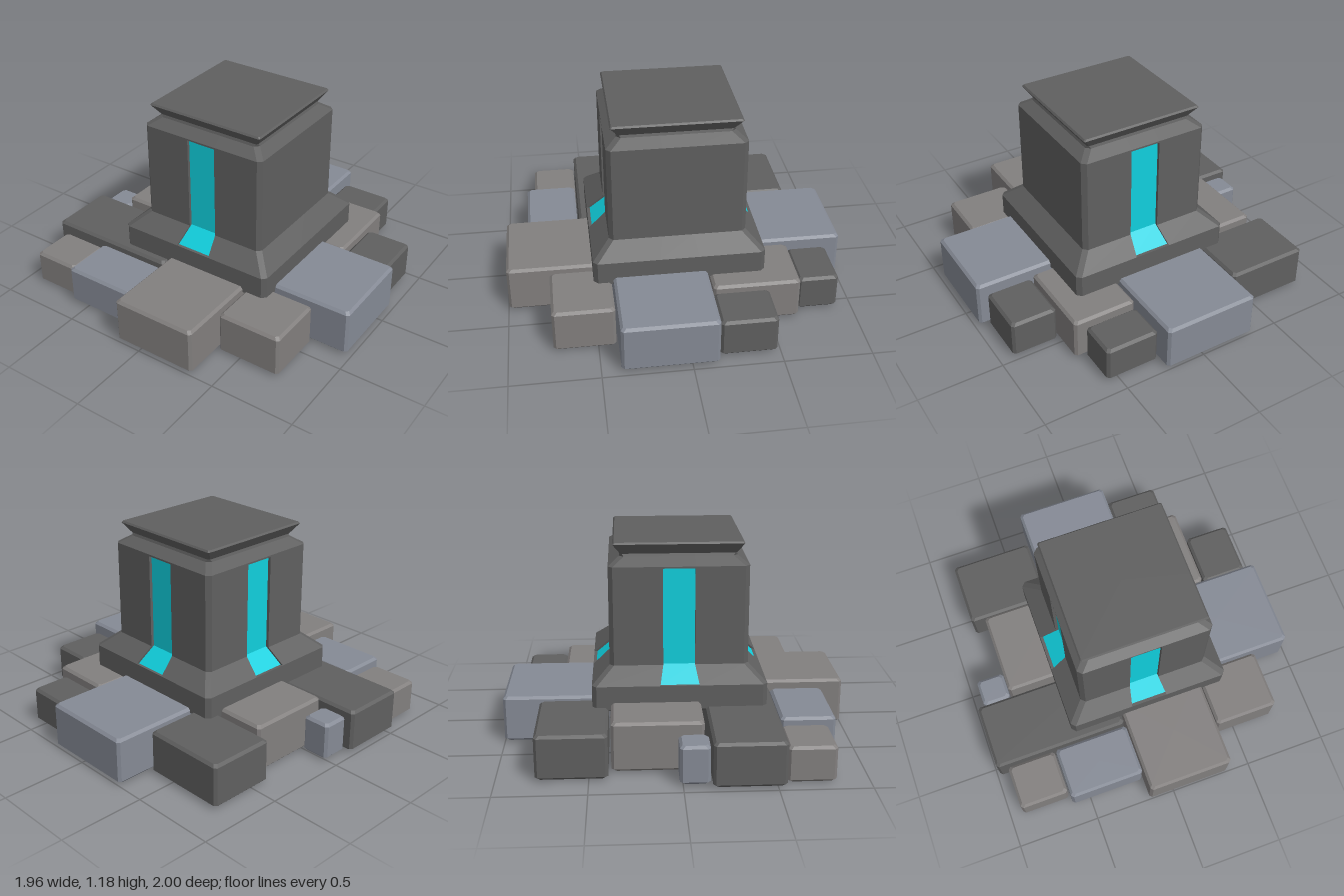
import * as THREE from 'three';

const DARK = 0x5f5f5f, BLUE = 0x858a95, BROWN = 0x827f7e, TEAL = 0x10cfdd;

function facetMesh(name, positions, color) {
  const geometry = new THREE.BufferGeometry();
  geometry.setAttribute('position', new THREE.Float32BufferAttribute(positions, 3));
  geometry.computeVertexNormals();
  const mesh = new THREE.Mesh(geometry, new THREE.MeshStandardMaterial({ color, flatShading: true }));
  mesh.name = name;
  return mesh;
}

// Adds one triangle, leaving out those without area
function addTriangle(out, a, b, c) {
  const area = new THREE.Triangle(a, b, c).getArea();
  if (area > 1e-8) for (const p of [a, b, c]) out.push(p.x, p.y, p.z);
}

// Joins rings of equal point count from bottom to top and closes both ends.
// pick(i, j) may send a wall panel to another list of triangles.
function loft(rings, out, pick = () => out) {
  const n = rings[0].length;
  for (let i = 0; i < rings.length - 1; i++) {
    for (let j = 0; j < n; j++) {
      const k = (j + 1) % n, low = rings[i], high = rings[i + 1], list = pick(i, j);
      addTriangle(list, low[j], low[k], high[k]);
      addTriangle(list, low[j], high[k], high[j]);
    }
  }
  const middle = (ring) => ring.reduce((s, p) => s.add(p), new THREE.Vector3()).divideScalar(n);
  const first = rings[0], last = rings[rings.length - 1];
  const bottom = middle(first), top = middle(last);
  for (let j = 0; j < n; j++) {
    const k = (j + 1) % n;
    addTriangle(out, bottom, first[k], first[j]);
    addTriangle(out, top, last[j], last[k]);
  }
}

// Stone block with all edges chamfered
function stoneBlock(name, color, x0, x1, z0, z1, y0, y1) {
  const c = 0.015;
  const ring = (y, inset) => {
    const l = x0 + inset, r = x1 - inset, b = z0 + inset, f = z1 - inset;
    return [[l + c, f], [r - c, f], [r, f - c], [r, b + c], [r - c, b], [l + c, b], [l, b + c], [l, f - c]]
      .map(([x, z]) => new THREE.Vector3(x, y, z));
  };
  const out = [];
  loft([ring(y0, c), ring(y0 + c, 0), ring(y1 - c, 0), ring(y1, c)], out);
  return facetMesh(name, out, color);
}

// Square ring with cut corners and a groove in every side but the +x one
function towerRing({ y, h, c = 0.025, groove = 0, w = 0.09 }) {
  const points = [];
  for (let side = 0; side < 4; side++) {
    const d = side === 1 ? 0 : groove, e = h - c;
    const cos = Math.round(Math.cos(side * Math.PI / 2)), sin = Math.round(Math.sin(side * Math.PI / 2));
    for (const [u, v] of [[-e, h], [-w, h], [-w, h - d], [w, h - d], [w, h], [e, h]]) {
      points.push(new THREE.Vector3(u * cos + v * sin, y, v * cos - u * sin));
    }
  }
  return points;
}

function tower() {
  const group = new THREE.Group();
  group.name = 'tower';
  const sections = [
    { y: 0.24, h: 0.48, w: 0.11 },
    { y: 0.25, h: 0.493, w: 0.11 },
    { y: 0.39, h: 0.493, w: 0.11 },
    { y: 0.39, h: 0.493, w: 0.11, groove: 0.018 },
    { y: 0.48, h: 0.393, groove: 0.018 },
    { y: 1.04, h: 0.393, groove: 0.018 },
    { y: 1.04, h: 0.393 },
    { y: 1.05, h: 0.393 },
    { y: 1.095, h: 0.33 },
    { y: 1.11, h: 0.325, c: 0.01 },
    { y: 1.17, h: 0.366, c: 0.006 },
    { y: 1.18, h: 0.358, c: 0.006 },
  ];
  const body = [], glow = [];
  // The floors of the grooves become the coloured strips
  loft(sections.map(towerRing), body, (i, j) => {
    const grooved = sections[i].groove && sections[i + 1].groove;
    return grooved && j % 6 === 2 && j !== 8 ? glow : body;
  });
  group.add(facetMesh('towerBody', body, DARK), facetMesh('glowStrips', glow, TEAL));
  group.position.set(0.014, 0, 0.008);
  return group;
}

export function createModel() {
  const model = new THREE.Group();
  model.name = 'pedestal';
  model.add(tower());

  // Ring of paving stones: colour, x range, z range, y range
  const stones = [
    [BLUE, -0.335, 0.24, -1.0, -0.4, 0.01, 0.28],
    [DARK, 0.25, 0.57, -0.91, -0.675, 0.01, 0.22],
    [BROWN, 0.25, 0.633, -0.668, -0.165, 0.01, 0.26],
    [DARK, 0.645, 0.92, -0.48, -0.16, 0.01, 0.235],
    [BLUE, 0.25, 0.975, -0.15, 0.39, 0.01, 0.29],
    [BROWN, 0.37, 0.755, 0.4, 0.75, 0.005, 0.26],
    [BROWN, -0.155, 0.36, 0.4, 0.995, 0.01, 0.285],
    [BLUE, -0.613, -0.16, 0.56, 0.868, 0.01, 0.24],
    [BROWN, -0.918, -0.623, 0.555, 0.82, 0, 0.205],
    [DARK, -0.98, -0.163, 0.155, 0.548, 0.01, 0.262],
    [BLUE, -0.938, -0.77, -0.018, 0.145, 0.01, 0.23],
    [BROWN, -0.765, -0.3, -0.38, 0.125, 0.01, 0.293],
    [DARK, -0.85, -0.35, -0.787, -0.395, 0.01, 0.265],
  ];
  const paving = new THREE.Group();
  paving.name = 'pavingStones';
  stones.forEach((s, i) => paving.add(stoneBlock(`stone${i + 1}`, ...s)));
  model.add(paving);
  return model;
}
